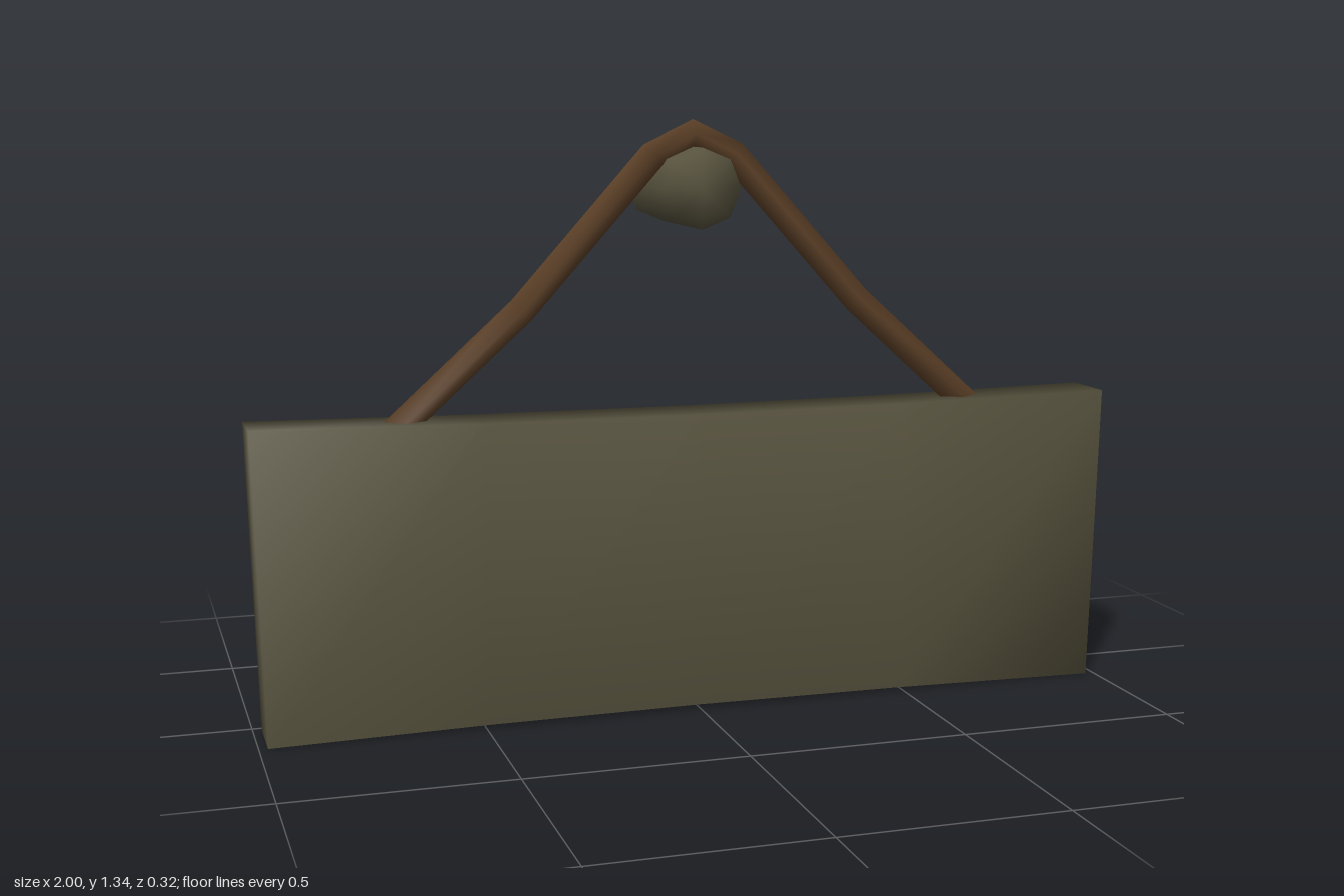
import * as THREE from 'three';
import { mergeVertices } from 'three/addons/utils/BufferGeometryUtils.js';

const wood = new THREE.MeshStandardMaterial({ color: 0x59543f, side: THREE.DoubleSide });
wood.name = 'weathered wood';
const cord = new THREE.MeshStandardMaterial({ color: 0x5c4027 });
cord.name = 'brown cord';

// Weld corners so the shading runs softly over the edges
function weld(geometry) {
  geometry.deleteAttribute('normal');
  geometry.deleteAttribute('uv');
  const welded = mergeVertices(geometry, 1e-4);
  welded.computeVertexNormals();
  return welded;
}

// Board: slightly pinched in the middle and narrower at the bottom
function boardGeometry() {
  const geometry = new THREE.BoxGeometry(2, 0.695, 0.135, 4, 1, 1);
  const p = geometry.attributes.position;
  for (let i = 0; i < p.count; i++) {
    const x = p.getX(i), top = p.getY(i) > 0;
    const pinch = 0.011 * (1 - x * x);
    p.setXYZ(i, x * (top ? 1 : 0.98), top ? 0.695 - pinch : pinch, p.getZ(i) + 0.083);
  }
  return weld(geometry);
}

// Cord: a four-sided section swept along a bent path with mitred corners
function cordGeometry() {
  const half = [[0.7, 0.65], [0.395, 0.925], [0.095, 1.26]];
  const path = [...half.map(([x, y]) => [-x, y]), [0, 1.307], ...half.reverse()]
    .map(([x, y]) => new THREE.Vector2(x, y));
  const r = 0.032, verts = [], index = [];
  path.forEach((point, i) => {
    const before = path[Math.max(i - 1, 0)], after = path[Math.min(i + 1, path.length - 1)];
    const d = after.clone().sub(before).normalize();
    // Corners: outer, front, inner, back
    for (let k = 0; k < 4; k++) {
      const a = k * Math.PI / 2, n = Math.cos(a) * r, z = Math.sin(a) * r;
      verts.push(point.x - d.y * n, point.y + d.x * n, 0.085 + z);
    }
  });
  const geometry = new THREE.BufferGeometry();
  for (let i = 0; i < path.length - 1; i++) {
    for (let k = 0; k < 4; k++) {
      const a = i * 4 + k, b = i * 4 + (k + 1) % 4;
      // The hidden underside of the first arm keeps the wood tone
      geometry.addGroup(index.length, 6, i < 2 && k === 2 ? 1 : 0);
      index.push(a, b, a + 4, b, b + 4, a + 4);
    }
  }
  geometry.setAttribute('position', new THREE.Float32BufferAttribute(verts, 3));
  geometry.setIndex(index);
  geometry.computeVertexNormals();
  return geometry;
}

// Peg: eight-sided, closed in front and open at the wall end
function pegGeometry() {
  const profile = [[0.09, -0.158], [0.09, 0.158], [0, 0.158]].map(([x, y]) => new THREE.Vector2(x, y));
  return new THREE.LatheGeometry(profile, 8).rotateX(Math.PI / 2).translate(0, 1.188, 0);
}

export function createModel() {
  const group = new THREE.Group();
  group.name = 'hangingSign';
  const add = (name, geometry, material) => {
    const mesh = new THREE.Mesh(geometry, material);
    mesh.name = name;
    group.add(mesh);
  };
  add('board', boardGeometry(), wood);
  add('hangingCord', cordGeometry(), [cord, wood]);
  add('peg', pegGeometry(), wood);
  return group;
}
